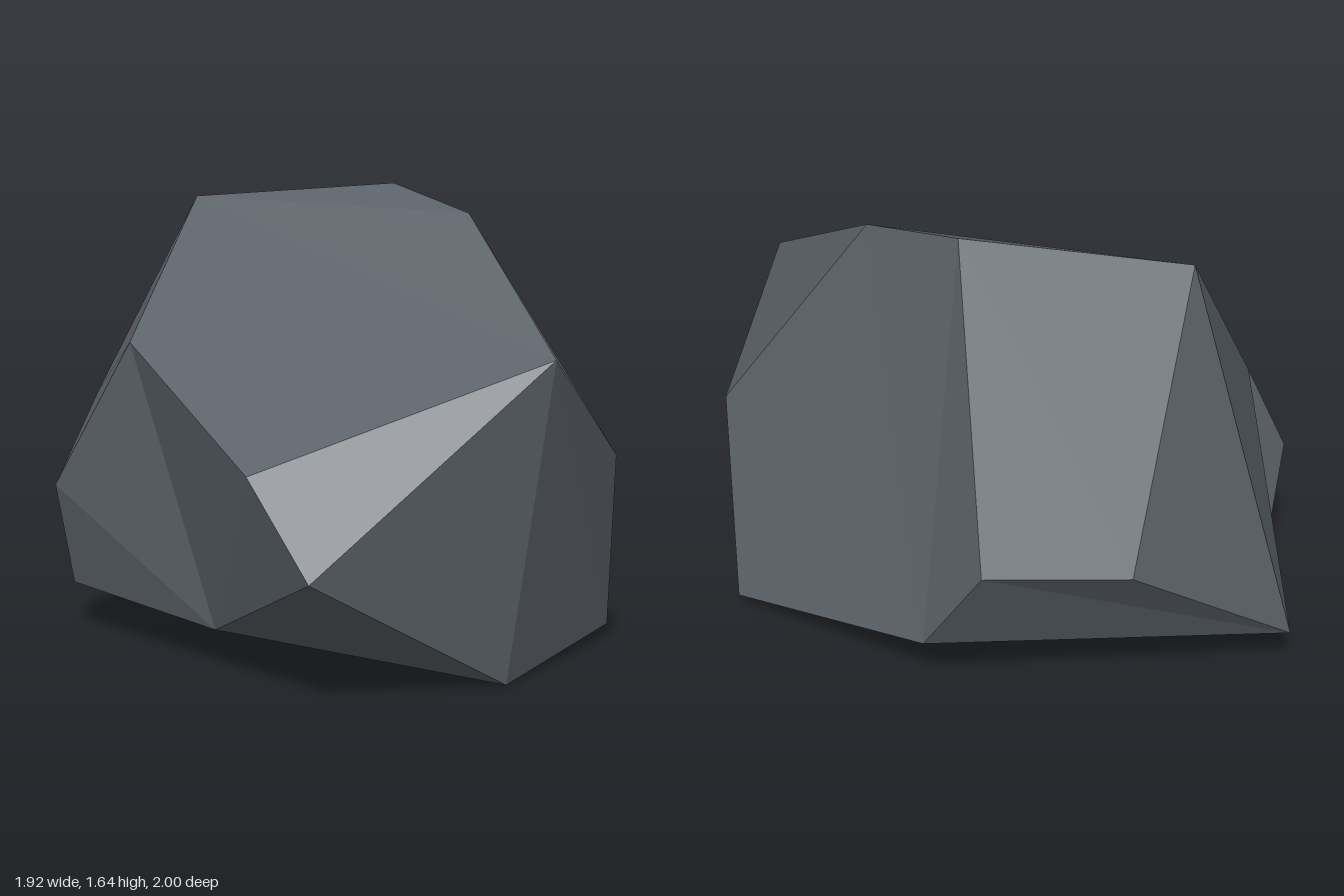
import * as THREE from 'three';

// Corners of the boulder, named by where they sit
const P = {
  peakBack: [-0.35, 1.58, -0.72],
  peak: [0.31, 1.64, -0.32],
  peakFront: [0.47, 1.55, 0.07],
  brow: [0.50, 1.12, 0.865],
  shoulder: [0.865, 0.73, 0.52],
  footLeft: [0.96, 0.05, 0.24],
  footFront: [0.38, 0.0, 0.75],
  nose: [-0.38, 0.45, 1.0],
  cheek: [-0.53, 0.77, 0.79],
  ridge: [-0.74, 1.11, -0.07],
  hip: [-0.96, 0.55, -0.41],
  footRight: [-0.89, 0.17, -0.45],
  chin: [-0.52, 0.14, 0.28],
  footBack: [-0.65, 0.18, -0.99],
  back: [0.0, 0.62, -1.0],
  backLeft: [0.455, 0.625, -0.79],
  heel: [0.565, 0.235, -0.55],
  dent: [-0.80, 0.895, -0.385],
};

// Each facet lists its corners in order around the edge; it is fanned from the first
const FACETS = [
  ['peakBack', 'peak', 'peakFront', 'brow', 'cheek', 'ridge'], // sloping top
  ['cheek', 'brow', 'nose'],
  ['nose', 'brow', 'footFront'],
  ['brow', 'shoulder', 'footLeft', 'footFront'],
  ['peakFront', 'shoulder', 'brow'],
  ['heel', 'backLeft', 'peak', 'peakFront', 'shoulder', 'footLeft'], // left flank
  ['peak', 'backLeft', 'back', 'peakBack'],
  ['backLeft', 'heel', 'footBack', 'back'],
  ['peakBack', 'back', 'footBack'],
  ['dent', 'peakBack', 'footBack', 'footRight', 'hip'], // back right, slightly hollow
  ['dent', 'hip', 'ridge', 'peakBack'],
  ['chin', 'nose', 'cheek', 'ridge', 'hip', 'footRight'], // right flank
  ['nose', 'footFront', 'chin'],
  ['heel', 'footLeft', 'footBack'],
  ['chin', 'footFront', 'footLeft', 'footBack', 'footRight'], // underside
];

function facetedGeometry(facets) {
  const centre = new THREE.Vector3(0, 0.75, 0);
  const points = [];
  for (const facet of facets) {
    const v = facet.map((name) => new THREE.Vector3(...P[name]));
    for (let i = 1; i < v.length - 1; i++) {
      const tri = new THREE.Triangle(v[0], v[i], v[i + 1]);
      // turn every triangle outward
      const normal = tri.getNormal(new THREE.Vector3());
      const outward = tri.getMidpoint(new THREE.Vector3()).sub(centre);
      points.push(...(normal.dot(outward) > 0 ? [tri.a, tri.b, tri.c] : [tri.a, tri.c, tri.b]));
    }
  }
  const geometry = new THREE.BufferGeometry().setFromPoints(points);
  geometry.computeVertexNormals();
  return geometry;
}

export function createModel() {
  const group = new THREE.Group();
  group.name = 'rock';
  const stone = new THREE.MeshStandardMaterial({ color: 0x5a6168, flatShading: true });
  stone.name = 'slate grey stone';
  const boulder = new THREE.Mesh(facetedGeometry(FACETS), stone);
  boulder.name = 'boulder';
  group.add(boulder);
  return group;
}
